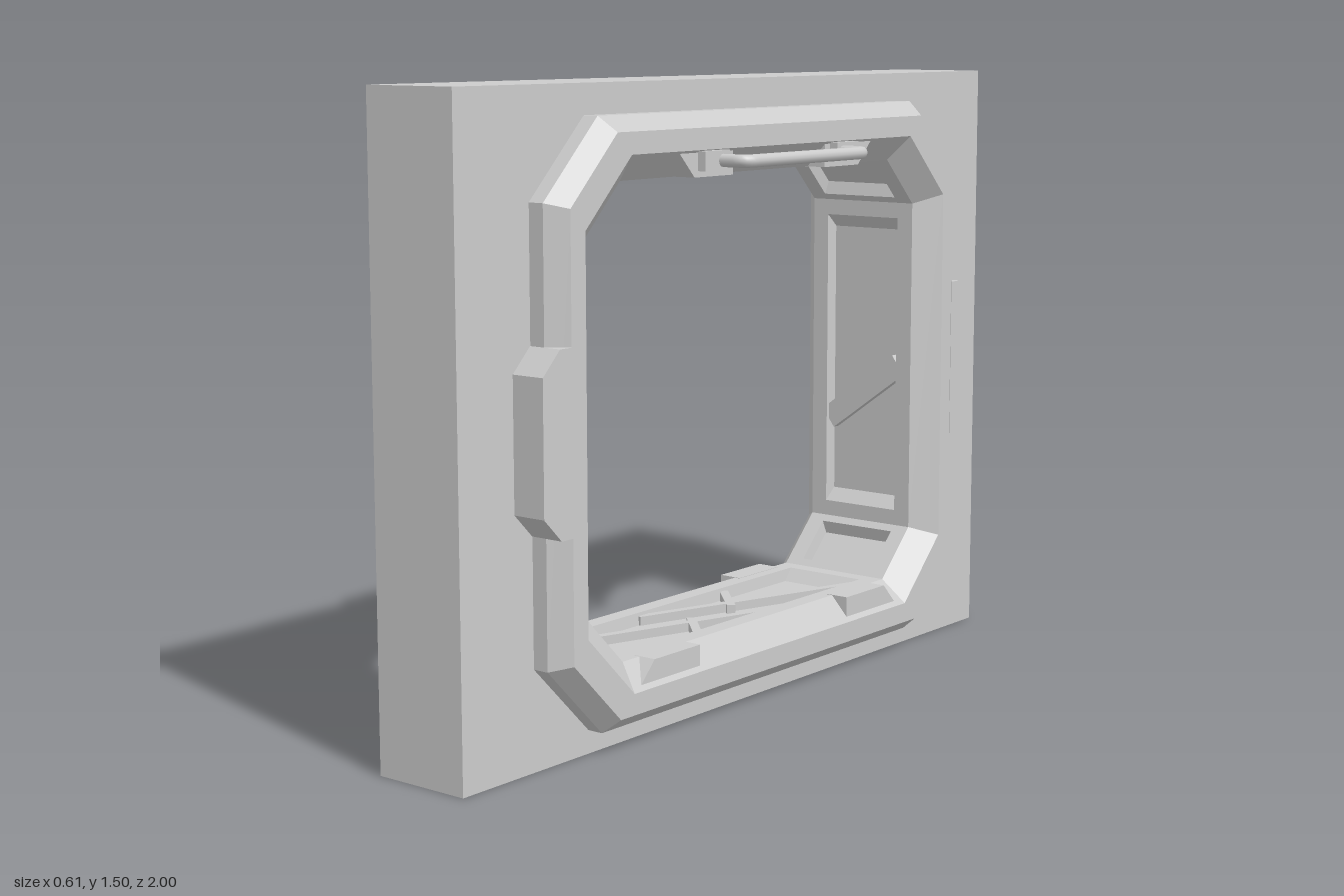
import * as THREE from 'three';

const CY = 0.7425, CZ = -0.008; // centre of the opening
const grey = new THREE.MeshStandardMaterial({ color: 0xcccccc });
const flat = new THREE.MeshStandardMaterial({ color: 0xcccccc, flatShading: true });
const V = (x, y, z) => new THREE.Vector3(x, y, z);

// Chamfered rectangle as [z, y] points: half width, half height, corner cut
function octagon([w, h, c]) {
  return [[w, -h + c], [w, h - c], [w - c, h], [-w + c, h], [-w, h - c], [-w, -h + c], [-w + c, -h], [w - c, -h]]
    .map(([z, y]) => [z + CZ, y + CY]);
}
const OUTER = octagon([0.782, 0.6875, 0.178]);
const FLAT = octagon([0.745, 0.6525, 0.155]);
const LIP = octagon([0.6975, 0.6025, 0.155]);
const INNER = octagon([0.6375, 0.5425, 0.118]);

function quadGeometry(quads) {
  const pos = [];
  for (const [a, b, c, d] of quads) for (const p of [a, b, c, a, c, d]) pos.push(p.x, p.y, p.z);
  const g = new THREE.BufferGeometry();
  g.setAttribute('position', new THREE.Float32BufferAttribute(pos, 3));
  g.computeVertexNormals();
  return g;
}

// Extrude a [z, y] outline between two x positions
function slab(points, x0, x1, hole) {
  const toV = p => p.map(([z, y]) => new THREE.Vector2(-z, y));
  const shape = new THREE.Shape(toV(points));
  if (hole) shape.holes.push(new THREE.Path(toV(hole)));
  const g = new THREE.ExtrudeGeometry(shape, { depth: x1 - x0, bevelEnabled: false });
  return g.rotateY(Math.PI / 2).translate(x0, 0, 0);
}

// Bevelled trim on one side of the wall, joined ring by ring
function trim(rings) {
  const quads = [];
  for (let i = 0; i + 1 < rings.length; i++) {
    const [xa, A] = rings[i], [xb, B] = rings[i + 1];
    for (let j = 0; j < 8; j++) {
      const k = (j + 1) % 8;
      const p = (x, q) => V(x, q[1], q[0]);
      quads.push([p(xa, A[j]), p(xb, B[j]), p(xb, B[k]), p(xa, A[k])]);
    }
  }
  return quadGeometry(quads);
}

// Recessed lining panel in local axes: u along the facet, v across the wall, depth below zero
const HALF = 0.155, DEPTH = 0.03;
function panel(length) {
  const rect = (u, v, d) => [V(-u, -v, d), V(u, -v, d), V(u, v, d), V(-u, v, d)];
  const L = length / 2, m = Math.min(0.04, L * 0.25);
  const rings = [rect(L, HALF, 0), rect(L - m, 0.11, 0), rect(L - m * 1.8, 0.105, -DEPTH)];
  const quads = [rings[2]];
  for (let i = 0; i < 2; i++) for (let j = 0; j < 4; j++) {
    const k = (j + 1) % 4;
    quads.push([rings[i][j], rings[i][k], rings[i + 1][k], rings[i + 1][j]]);
  }
  return quadGeometry(quads);
}

function rib([u0, v0, u1, v1, width]) {
  const g = new THREE.BoxGeometry(Math.hypot(u1 - u0, v1 - v0), width, 0.022);
  g.rotateZ(Math.atan2(v1 - v0, u1 - u0));
  return g.translate((u0 + u1) / 2, (v0 + v1) / 2, -DEPTH + 0.011);
}

export function createModel() {
  const model = new THREE.Group();
  const add = (name, g, mat = flat, parent = model) => {
    const m = new THREE.Mesh(g, mat);
    m.name = name;
    parent.add(m);
    return m;
  };

  // Wall block with the window cut through
  add('wall', slab([[-1, 0], [1, 0], [1, 1.5], [-1, 1.5]], -0.125, 0.125, FLAT));

  // Trim on both wall faces
  const profile = [[0.12, OUTER], [0.165, OUTER], [0.21, FLAT], [0.21, LIP], [HALF, INNER]];
  add('leftTrim', trim(profile));
  add('rightTrim', trim(profile.map(([x, r]) => [-x, r]).reverse()));

  // Lining panels and their ribs, one per side of the octagon
  const truss = [[0.15, -0.11, -0.48, 0.105, 0.022], [-0.15, 0.11, 0.48, -0.105, 0.022],
    [-0.19, -0.11, -0.08, 0.0, 0.022], [0.19, 0.11, 0.08, 0.0, 0.022]];
  const ribs = {
    0: [[0.02, 0.11, -0.11, -0.11, 0.06]],
    2: truss,
    4: [[0.16, -0.11, 0, 0.11, 0.06]],
    6: truss,
  };
  for (let j = 0; j < 8; j++) {
    const a = INNER[j], b = INNER[(j + 1) % 8];
    const t = V(0, b[1] - a[1], b[0] - a[0]);
    const length = t.length();
    t.normalize();
    const side = new THREE.Group();
    side.name = 'lining' + (j + 1);
    const x = V(1, 0, 0);
    side.quaternion.setFromRotationMatrix(new THREE.Matrix4().makeBasis(t, x, t.clone().cross(x)));
    side.position.set(0, (a[1] + b[1]) / 2, (a[0] + b[0]) / 2);
    add('liningPanel', panel(length), flat, side);
    for (const r of ribs[j] || []) add('liningRib', rib(r), flat, side);
    model.add(side);
  }

  for (const s of [1, -1]) {
    const block = (name, pts, x0, x1) => add(name, slab(pts, Math.min(s * x0, s * x1), Math.max(s * x0, s * x1)));

    // Clasps on the front and back edges of the trim
    block('frontClasp', [[0.735, 0.53], [0.775, 0.53], [0.83, 0.585], [0.83, 0.89], [0.775, 0.945], [0.735, 0.945]], 0.12, 0.211);
    block('backClasp', [[-0.75, 0.545], [-0.79, 0.545], [-0.85, 0.6], [-0.85, 0.9], [-0.79, 0.96], [-0.75, 0.96]], 0.12, 0.211);

    for (const e of [1, -1]) {
      const at = pts => pts.map(([z, y]) => [e * z + CZ, y]);
      // Sill blocks and handle mounts with wedge-shaped ends
      block('sillBlock', at([[0.52, 0.138], [0.46, 0.201], [0.295, 0.201], [0.295, 0.138]]), 0.14, 0.2);
      block('handleMount', at([[0.38, 1.347], [0.32, 1.284], [0.18, 1.284], [0.18, 1.347]]), 0.14, 0.205);
      block('handlePad', [[e * 0.3, 1.298], [e * 0.21, 1.298], [e * 0.21, 1.343], [e * 0.3, 1.343]], 0.2, 0.226);
    }

    // Grab handle
    const y = 1.32, z = 0.235, X = 0.292, r = 0.03;
    const path = new THREE.CurvePath();
    path.add(new THREE.LineCurve3(V(s * 0.2, y, z), V(s * (X - r), y, z)));
    path.add(new THREE.QuadraticBezierCurve3(V(s * (X - r), y, z), V(s * X, y, z), V(s * X, y, z - r)));
    path.add(new THREE.LineCurve3(V(s * X, y, z - r), V(s * X, y, r - z)));
    path.add(new THREE.QuadraticBezierCurve3(V(s * X, y, r - z), V(s * X, y, -z), V(s * (X - r), y, -z)));
    path.add(new THREE.LineCurve3(V(s * (X - r), y, -z), V(s * 0.2, y, -z)));
    add('handle', new THREE.TubeGeometry(path, 80, 0.015, 12), grey);
  }
  return model;
}
